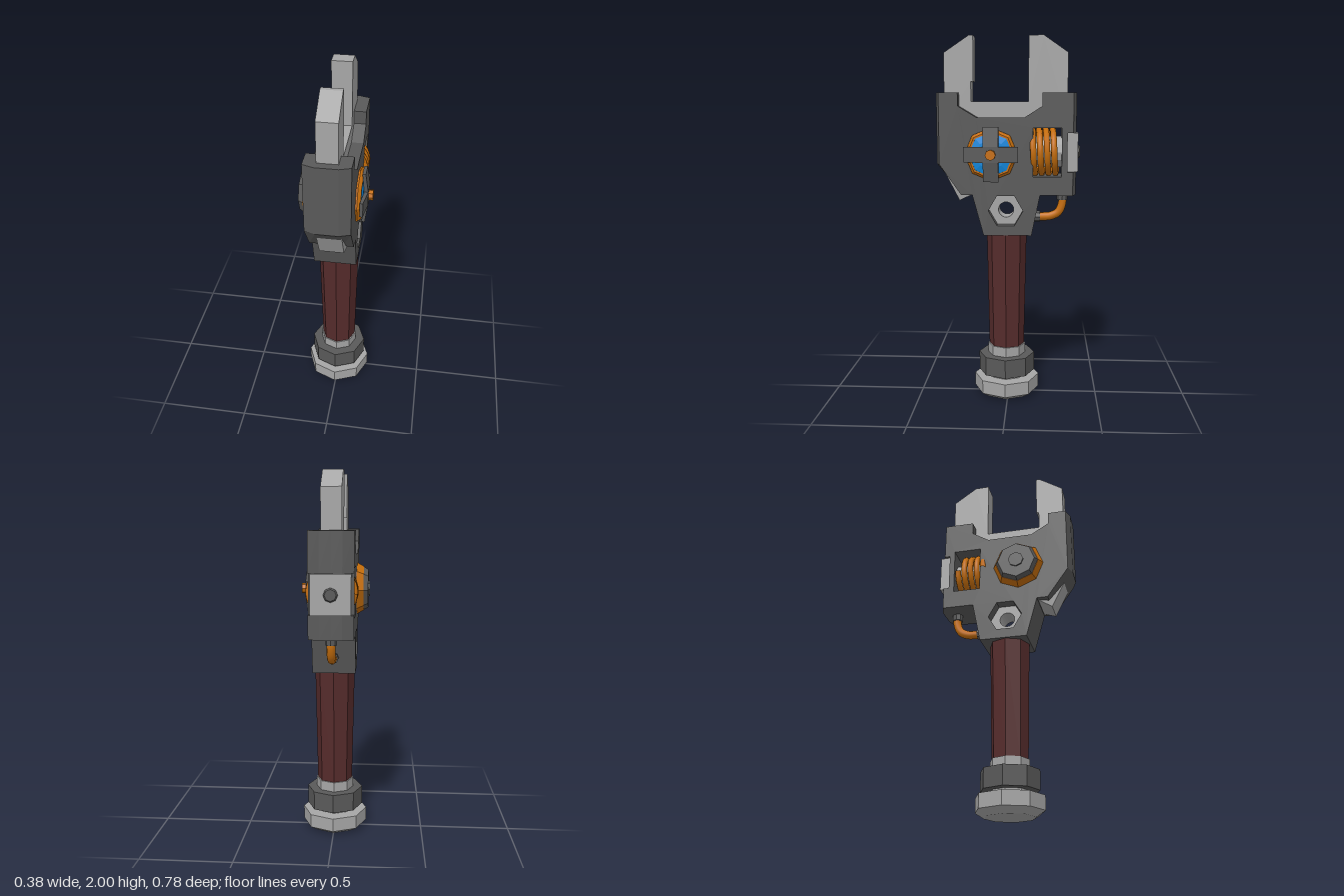
import * as THREE from 'three';

const mat = (name, color) => {
  const m = new THREE.MeshStandardMaterial({ color });
  m.name = name;
  return m;
};

export function createModel() {
  const dark = mat('dark steel', 0x595959);
  const light = mat('light steel', 0xa6a6a6);
  const copper = mat('copper', 0xc66e0c);
  const blue = mat('blue glow', 0x1088dd);
  const grip = mat('brown grip', 0x552b2b);

  const model = new THREE.Group();
  model.name = 'wrench';

  const add = (name, geo, material, parent = model) => {
    const mesh = new THREE.Mesh(geo, material);
    mesh.name = name;
    parent.add(mesh);
    return mesh;
  };
  // Faceted normals
  const flat = (geo) => {
    const g = geo.index ? geo.toNonIndexed() : geo;
    g.computeVertexNormals();
    return g;
  };
  const path = (Type, pts) => new Type(pts.map(([a, b]) => new THREE.Vector2(a, b)));
  // Extrude a (z, y) profile symmetrically along x
  const slab = (pts, width, holes = [], steps = 1) => {
    const shape = path(THREE.Shape, pts);
    shape.holes.push(...holes);
    const g = new THREE.ExtrudeGeometry(shape, { depth: width, steps, bevelEnabled: false, curveSegments: 10 });
    return g.translate(0, 0, -width / 2).rotateY(-Math.PI / 2);
  };
  // Solid of revolution from (radius, height) points
  const turned = (pts, sides = 8) =>
    flat(new THREE.LatheGeometry(pts.map(([r, h]) => new THREE.Vector2(r, h)), sides));
  const ngon = (n, r, cz, cy) => Array.from({ length: n }, (_, i) => {
    const a = (i / n) * Math.PI * 2;
    return [cz + r * Math.cos(a), cy + r * Math.sin(a)];
  });

  // Pommel, nut, collar and grip
  const handle = new THREE.Group();
  handle.name = 'handle';
  handle.position.z = 0.01;
  model.add(handle);
  add('pommel', turned([[0, 0], [0.135, 0], [0.182, 0.03], [0.182, 0.105], [0, 0.105]]), light, handle);
  add('collar', turned([[0.105, 0.1], [0.105, 0.29], [0, 0.29]]), light, handle);
  add('nut', turned([[0, 0.13], [0.157, 0.13], [0.157, 0.235], [0, 0.235]]), dark, handle);
  add('grip', turned([[0, 0.285], [0.098, 0.285], [0.111, 0.94], [0, 0.94]]), grip, handle);

  // Head: side profile with a hexagonal eye and a coil window
  const headProfile = [
    [0.387, 1.7], [0.265, 1.7], [0.265, 1.63], [0.165, 1.57], [-0.09, 1.57], [-0.185, 1.63], [-0.185, 1.7],
    [-0.368, 1.7], [-0.368, 1.49], [-0.32, 1.49], [-0.32, 1.28], [-0.368, 1.28], [-0.368, 1.155],
    [-0.175, 1.155], [-0.13, 0.935], [0.13, 0.935], [0.19, 1.155], [0.25, 1.155], [0.387, 1.32],
  ];
  const eye = path(THREE.Path, ngon(6, 0.094, 0.01, 1.07));
  const coilWindow = path(THREE.Path, [[-0.137, 1.255], [-0.29, 1.255], [-0.29, 1.515], [-0.137, 1.515]]);
  const head = slab(headProfile, 0.233, [eye, coilWindow], 4);
  // Chamfer the front and back upright edges
  const p = head.attributes.position;
  for (let i = 0; i < p.count; i++) {
    if (Math.abs(p.getX(i)) > 0.1) p.setZ(i, THREE.MathUtils.clamp(p.getZ(i), -0.35, 0.367));
  }
  add('head', flat(head).translate(-0.003, 0, 0), dark);

  // Jaws
  add('jaws', slab([
    [0.345, 1.54], [0.345, 1.91], [0.21, 2], [0.187, 2], [0.187, 1.76], [0.2, 1.76], [0.2, 1.655],
    [-0.11, 1.655], [-0.11, 2], [-0.19, 2], [-0.32, 1.91], [-0.32, 1.54],
  ], 0.106).translate(-0.003, 0, 0), light);

  // Chin spur under the front, narrower on its outer edge
  const spur = slab([[0.368, 1.32], [0.265, 1.12], [0.195, 1.155], [0.26, 1.32]], 0.18);
  const sp = spur.attributes.position;
  for (let i = 0; i < sp.count; i++) {
    if (sp.getZ(i) > 0.262) sp.setX(i, sp.getX(i) * 0.72);
  }
  add('chinSpur', flat(spur), light);

  // Nut set in the eye
  const bore = new THREE.Path().absarc(0.01, 1.07, 0.042, 0, Math.PI * 2, true);
  add('eyeNut', slab(ngon(6, 0.094, 0.01, 1.07), 0.12, [bore]), light);

  // Coil wound along z on a steel core
  const turns = 4;
  const coilPoints = Array.from({ length: turns * 12 + 1 }, (_, i) => {
    const a = Math.PI + (i / 12) * Math.PI * 2;
    return new THREE.Vector3(0.119 * Math.cos(a), 1.385 + 0.119 * Math.sin(a), -0.268 + 0.037 * (i / 12));
  });
  add('coil', new THREE.TubeGeometry(new THREE.CatmullRomCurve3(coilPoints), 128, 0.017, 8), copper);
  add('coilCore', flat(new THREE.CylinderGeometry(0.085, 0.085, 0.2, 12)).rotateX(Math.PI / 2).translate(0, 1.385, -0.225), light);

  // Back plate and bolt
  add('backPlate', new THREE.BoxGeometry(0.206, 0.207, 0.057).translate(-0.003, 1.385, -0.3475), light);
  add('backBolt', turned([[0.037, 0], [0.037, 0.009], [0.03, 0.016], [0, 0.016]], 8)
    .rotateX(-Math.PI / 2).translate(-0.003, 1.385, -0.374), dark);

  // Feed pipe from head to neck with end collars
  const pipe = new THREE.CatmullRomCurve3([
    [1.15, -0.297], [1.1, -0.297], [1.05, -0.275], [1.028, -0.23], [1.025, -0.19], [1.025, -0.15],
  ].map(([y, z]) => new THREE.Vector3(0, y, z)));
  add('pipe', new THREE.TubeGeometry(pipe, 24, 0.023, 10), copper);
  const collar = () => flat(new THREE.CylinderGeometry(0.031, 0.031, 0.04, 8));
  add('pipeCollar', collar().translate(0, 1.14, -0.297), dark);
  add('pipeCollar', collar().rotateX(Math.PI / 2).translate(0, 1.025, -0.155), dark);

  // Side dials share one centre; turned parts point along x
  const dial = new THREE.Group();
  dial.name = 'dial';
  dial.position.set(0, 1.375, 0.087);
  model.add(dial);
  const toLeft = (g) => g.rotateZ(-Math.PI / 2);
  const toRight = (g) => g.rotateZ(Math.PI / 2);

  // Left dial: copper ring, blue lens, cross guard and knob
  add('lensRing', toLeft(turned([[0.143, 0.11], [0.143, 0.122], [0.128, 0.139], [0.118, 0.139], [0.118, 0.11]])), copper, dial);
  add('lens', toLeft(turned([[0.119, 0.12], [0.119, 0.136], [0.08, 0.144], [0, 0.146]])), blue, dial);
  add('guardHub', new THREE.BoxGeometry(0.055, 0.082, 0.082).translate(0.139, 0, 0), dark, dial);
  for (let i = 0; i < 4; i++) {
    const shape = path(THREE.Shape, [[0.145, 0.03], [0.167, 0.03], [0.167, 0.042], [0.153, 0.145], [0.136, 0.145], [0.147, 0.042]]);
    const arm = new THREE.ExtrudeGeometry(shape, { depth: 0.082, bevelEnabled: false }).translate(0, 0, -0.041);
    add('guardArm', arm, dark, dial).rotation.x = (i * Math.PI) / 2;
  }
  add('knob', toLeft(turned([[0.028, 0.16], [0.028, 0.19], [0, 0.19]])), copper, dial);

  // Right dial: copper flange, dark cap and hub
  add('capFlange', toRight(turned([[0.143, 0.11], [0.143, 0.12], [0.122, 0.157], [0, 0.157]])), copper, dial);
  add('cap', toRight(turned([[0.121, 0.156], [0.105, 0.182], [0, 0.182]])), dark, dial);
  add('capHub', toRight(turned([[0.043, 0.18], [0.043, 0.191], [0, 0.191]])), dark, dial);

  return model;
}
